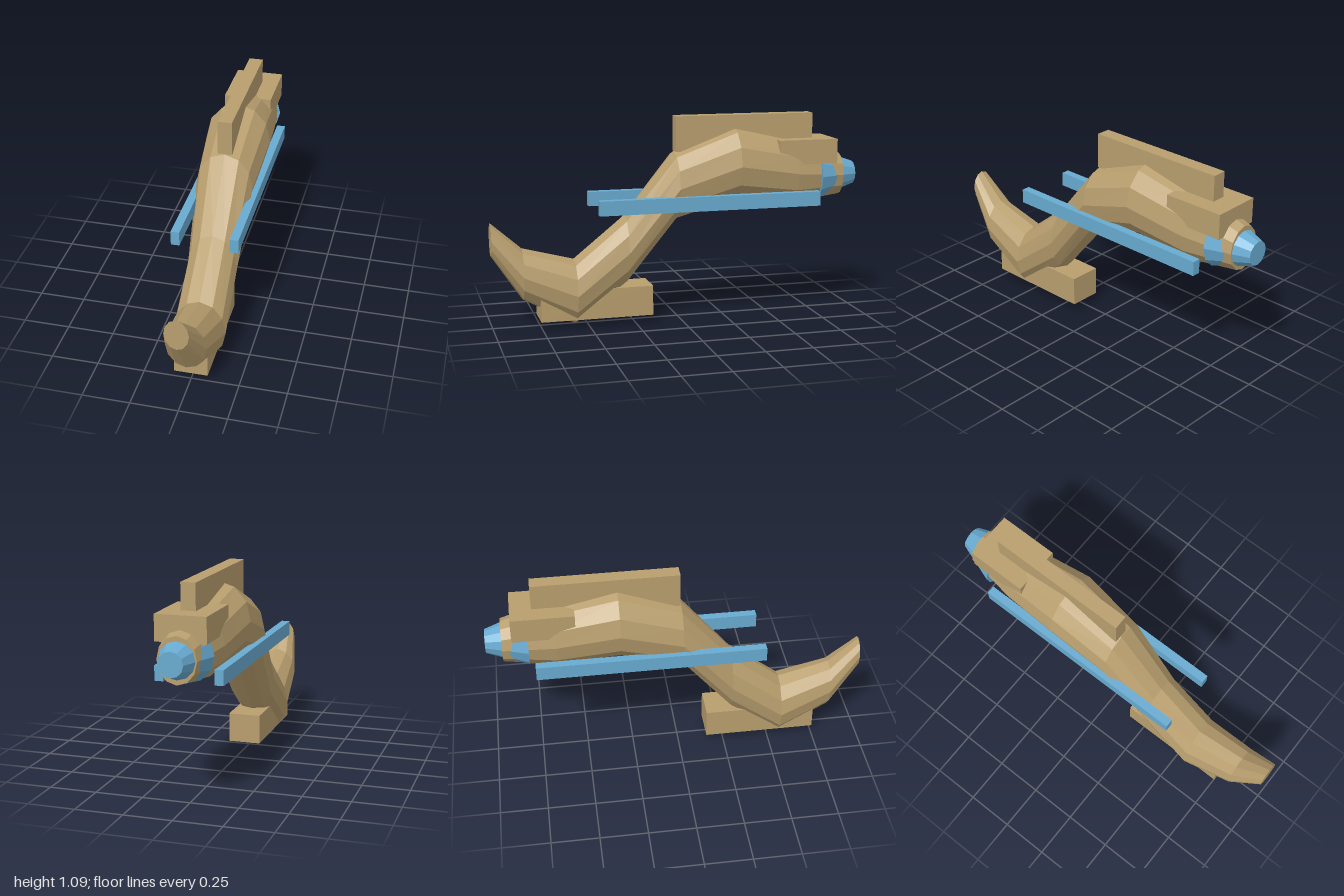
import * as THREE from 'three';

const SIDES = 12;

// Lofts upright elliptical rings [z, centreY, radiusX, radiusY], front to back, with capped ends
function loft(rings) {
  const pos = [], index = [];
  for (const [z, cy, rx, ry] of rings) {
    for (let j = 0; j < SIDES; j++) {
      const a = (j / SIDES) * Math.PI * 2;
      pos.push(rx * Math.sin(a), cy + ry * Math.cos(a), z);
    }
  }
  const at = (i, j) => i * SIDES + (j % SIDES);
  const last = rings.length - 1;
  for (let i = 0; i < last; i++) {
    for (let j = 0; j < SIDES; j++) {
      index.push(at(i, j), at(i, j + 1), at(i + 1, j));
      index.push(at(i, j + 1), at(i + 1, j + 1), at(i + 1, j));
    }
  }
  for (let j = 1; j < SIDES - 1; j++) {
    index.push(at(0, 0), at(0, j + 1), at(0, j));
    index.push(at(last, 0), at(last, j), at(last, j + 1));
  }
  const geo = new THREE.BufferGeometry();
  geo.setAttribute('position', new THREE.Float32BufferAttribute(pos, 3));
  geo.setIndex(index);
  const flat = geo.toNonIndexed();
  flat.computeVertexNormals();
  return flat;
}

export function createModel() {
  const group = new THREE.Group();
  const tan = new THREE.MeshStandardMaterial({ color: 0xb89e6e });
  tan.name = 'tan';
  const blue = new THREE.MeshStandardMaterial({ color: 0x68aad0 });
  blue.name = 'blue';
  tan.flatShading = blue.flatShading = true;

  function add(name, geo, material) {
    const mesh = new THREE.Mesh(geo, material);
    mesh.name = name;
    group.add(mesh);
    return mesh;
  }

  // Box given by its limits on each axis
  function box(name, [x0, x1], [y0, y1], [z0, z1], material) {
    const mesh = add(name, new THREE.BoxGeometry(x1 - x0, y1 - y0, z1 - z0), material);
    mesh.position.set((x0 + x1) / 2, (y0 + y1) / 2, (z0 + z1) / 2);
  }

  // Curved body
  add('body', loft([
    [1.0, 0.478, 0.063, 0.088],
    [0.84, 0.287, 0.107, 0.138],
    [0.565, 0.177, 0.137, 0.175],
    [0.29, 0.39, 0.132, 0.185],
    [0.02, 0.722, 0.152, 0.184],
    [-0.31, 0.83, 0.175, 0.2],
    [-0.64, 0.776, 0.147, 0.18],
    [-0.915, 0.753, 0.1, 0.118],
  ]), tan);

  // Tapered nozzle at the rear
  add('rearNozzle', loft([
    [-0.78, 0.753, 0.14, 0.14],
    [-1.0, 0.753, 0.063, 0.063],
  ]), blue);

  // Blocks on the top, rear and underside
  box('topFin', [-0.038, 0.038], [0.905, 1.093], [-0.75, 0.015], tan);
  box('rearBlock', [-0.13, 0.13], [0.825, 0.957], [-0.862, -0.535], tan);
  box('lowerBlock', [-0.088, 0.088], [0.04, 0.2], [0.155, 0.755], tan);

  // Side rails
  box('leftRail', [0.13, 0.175], [0.605, 0.682], [-0.752, 0.455], blue);
  box('rightRail', [-0.175, -0.13], [0.605, 0.682], [-0.752, 0.455], blue);

  return group;
}
